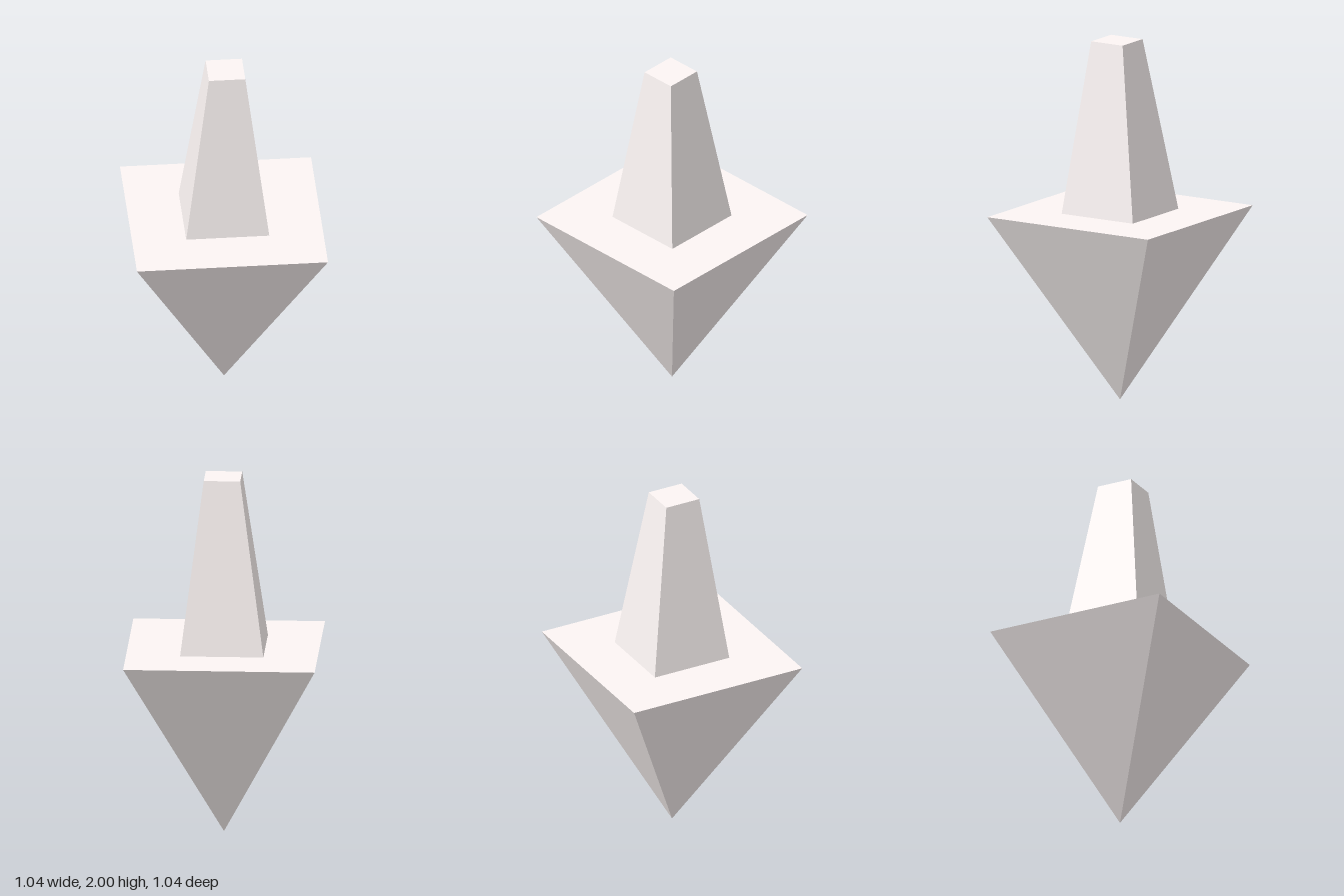
import * as THREE from 'three';

const material = new THREE.MeshStandardMaterial({ color: 0xfcf5f4, flatShading: true });

// Square-sided block whose bottom and top are rectangles given as [x0, x1, z0, z1]
function taperedBlock(bottom, top, y0, y1) {
  const geometry = new THREE.BoxGeometry(1, 1, 1);
  const p = geometry.attributes.position;
  for (let i = 0; i < p.count; i++) {
    const upper = p.getY(i) > 0;
    const [x0, x1, z0, z1] = upper ? top : bottom;
    p.setXYZ(i, p.getX(i) < 0 ? x0 : x1, upper ? y1 : y0, p.getZ(i) < 0 ? z0 : z1);
  }
  geometry.computeVertexNormals();
  return geometry;
}

export function createModel() {
  const group = new THREE.Group();
  group.name = 'spinningTop';

  const half = 0.522, shoulder = 1.048;

  // Inverted square pyramid standing on its tip
  const pyramid = new THREE.ConeGeometry(half * Math.SQRT2, shoulder, 4);
  pyramid.rotateY(Math.PI / 4).rotateX(Math.PI).translate(0, shoulder / 2, 0);
  const body = new THREE.Mesh(pyramid, material);
  body.name = 'body';

  // Tapered handle, its top slightly off centre
  const handle = new THREE.Mesh(
    taperedBlock([-0.227, 0.227, -0.231, 0.231], [-0.093, 0.106, -0.086, 0.118], shoulder, 2),
    material
  );
  handle.name = 'handle';

  group.add(body, handle);
  return group;
}
